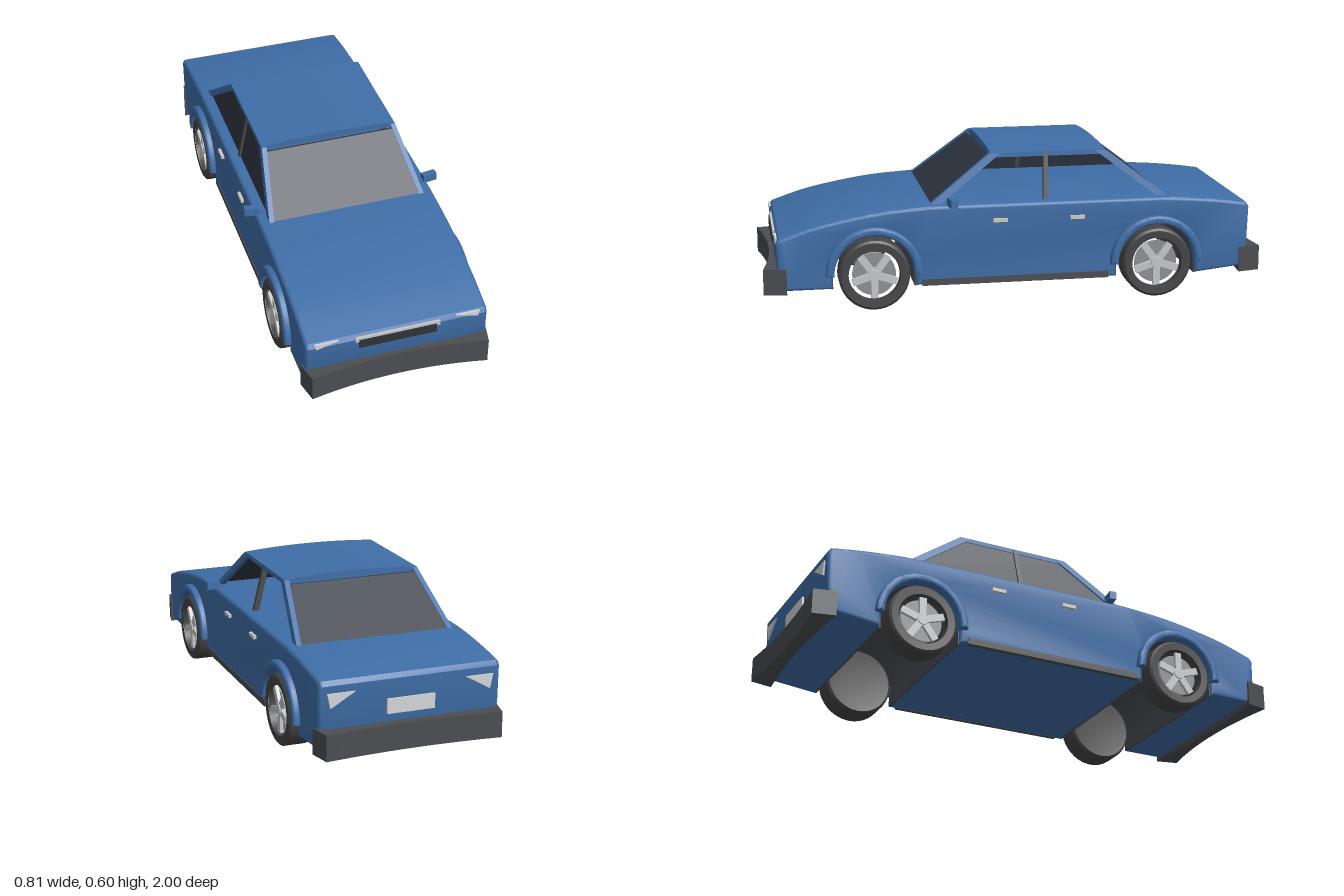
import * as THREE from 'three';
import { toCreasedNormals } from 'three/addons/utils/BufferGeometryUtils.js';
import { ConvexGeometry } from 'three/addons/geometries/ConvexGeometry.js';

const mat = (name, color, side = THREE.FrontSide) =>
  Object.assign(new THREE.MeshStandardMaterial({ color, side }), { name });
const V = (x, y, z) => new THREE.Vector3(x, y, z);
const SIDES = [1, -1];
const AXLES = [0.57, -0.565], AXLE_Y = 0.14, WELL = 0.165, SILL_Y = 0.085;

export function createModel() {
  const paint = mat('bluePaint', 0x3f6ea8);
  const glass = mat('darkGlass', 0x2f3641, THREE.DoubleSide);
  const trim = mat('greyTrim', 0x4b4d51);
  const rubber = mat('tyreRubber', 0x454547);
  const metal = mat('lightMetal', 0xc6c8ca);
  const recess = mat('shadedMetal', 0x8e9093);
  const handleMat = mat('paleHandle', 0xd0cbbf);
  const lamp = mat('lampLens', 0xd4d6d8);
  const plateMat = mat('darkPlate', 0x303236);

  const car = new THREE.Group();
  car.name = 'car';
  const add = (name, geo, material, parent = car) => {
    const m = new THREE.Mesh(geo, material);
    m.name = name;
    parent.add(m);
    return m;
  };
  const box = (name, w, h, d, x, y, z, material, parent) => {
    const m = add(name, new THREE.BoxGeometry(w, h, d), material, parent);
    m.position.set(x, y, z);
    return m;
  };
  // Side profile drawn in (z, y), extruded across x between two limits
  const across = (shape, x0, x1, bevel = 0) => {
    const g = new THREE.ExtrudeGeometry(shape, {
      depth: x1 - x0 - 2 * bevel, curveSegments: 24, bevelEnabled: bevel > 0,
      bevelThickness: bevel, bevelSize: bevel, bevelOffset: -bevel, bevelSegments: 3,
    });
    g.rotateY(-Math.PI / 2).translate(x1 - bevel, 0, 0);
    return toCreasedNormals(g, 0.6);
  };
  // Solid between two lists of matching corners
  const solid = (name, points, material) => add(name, new ConvexGeometry(points), material);

  // Lower body with both wheel wells cut out
  const body = new THREE.Shape();
  body.moveTo(-0.95, 0.35);
  body.lineTo(-0.938, 0.368);
  body.quadraticCurveTo(-0.78, 0.395, -0.6, 0.403);
  body.lineTo(0.33, 0.403);
  body.splineThru([[0.5, 0.391], [0.65, 0.369], [0.8, 0.337], [0.935, 0.293]]
    .map(p => new THREE.Vector2(...p)));
  body.lineTo(0.948, 0.275);
  body.lineTo(0.945, 0.15);
  body.lineTo(0.91, SILL_Y);
  for (const c of AXLES) {
    body.lineTo(c + WELL, SILL_Y);
    body.lineTo(c + WELL, AXLE_Y);
    body.absarc(c, AXLE_Y, WELL, 0, Math.PI, false);
    body.lineTo(c - WELL, SILL_Y);
  }
  body.lineTo(-0.92, 0.105);
  body.lineTo(-0.945, 0.2);
  add('body', across(body, -0.36, 0.36, 0.014), paint);

  // Arch band, used for flares and wheel-well linings
  const arch = (c, outer, inner, foot) => {
    const s = new THREE.Shape();
    s.moveTo(c + outer, foot);
    s.lineTo(c + outer, AXLE_Y);
    s.absarc(c, AXLE_Y, outer, 0, Math.PI, false);
    s.lineTo(c - outer, foot);
    s.lineTo(c - inner, foot);
    s.lineTo(c - inner, AXLE_Y);
    s.absarc(c, AXLE_Y, inner, Math.PI, 0, true);
    s.lineTo(c + inner, foot);
    return s;
  };
  for (const c of AXLES) {
    add('wheelWellLining', across(arch(c, 0.167, 0.16, SILL_Y - 0.002), -0.345, 0.345), trim);
    for (const s of SIDES) {
      const flare = arch(c, 0.19, 0.157, AXLE_Y - 0.001);
      add('archFlare', s > 0 ? across(flare, 0.33, 0.386, 0.01) : across(flare, -0.386, -0.33, 0.01), paint);
    }
  }

  // Wheels
  const tyreProfile = [[0.0, -0.045], [0.1, -0.048], [0.13, -0.052], [0.139, -0.044], [0.14, -0.035],
    [0.14, 0.035], [0.139, 0.044], [0.13, 0.051], [0.102, 0.049], [0.1, 0.02]]
    .map(p => new THREE.Vector2(...p));
  const rimProfile = [[0, 0.02], [0.088, 0.02], [0.092, 0.044], [0.098, 0.051], [0.103, 0.048]]
    .map(p => new THREE.Vector2(...p));
  const lathe = pts => toCreasedNormals(new THREE.LatheGeometry(pts, 40), 0.6);
  for (const z of AXLES) for (const s of SIDES) {
    const wheel = new THREE.Group();
    wheel.name = 'wheel';
    add('tyre', lathe(tyreProfile), rubber, wheel);
    add('rim', lathe(rimProfile), metal, wheel);
    add('rimRecess', new THREE.CylinderGeometry(0.086, 0.086, 0.004, 32), recess, wheel).position.y = 0.021;
    add('hub', new THREE.CylinderGeometry(0.022, 0.028, 0.022, 20), metal, wheel).position.y = 0.036;
    for (let i = 0; i < 5; i++) {
      const arm = new THREE.Group();
      arm.name = 'spoke';
      arm.rotation.y = i * Math.PI * 2 / 5;
      box('spokeBar', 0.078, 0.014, 0.028, 0.053, 0.036, 0, metal, arm);
      wheel.add(arm);
    }
    wheel.rotation.z = -s * Math.PI / 2;
    wheel.position.set(s * 0.332, AXLE_Y, z);
    car.add(wheel);
  }

  // Bowed bumpers
  const bumper = (name, front, bow, y0, y1) => {
    const s = new THREE.Shape();
    s.moveTo(-0.37, 0.91);
    s.lineTo(-0.35, 1);
    s.quadraticCurveTo(0, 1 - 2 * bow, 0.35, 1);
    s.lineTo(0.37, 0.91);
    s.quadraticCurveTo(0, 0.95, -0.37, 0.91);
    const g = new THREE.ExtrudeGeometry(s, { depth: y1 - y0, bevelEnabled: false, curveSegments: 20 });
    g.rotateX(Math.PI / 2).translate(0, y1, 0);
    if (!front) g.rotateY(Math.PI);
    add(name, toCreasedNormals(g, 0.5), trim);
  };
  bumper('frontBumper', true, 0.036, 0.073, 0.175);
  bumper('rearBumper', false, 0.02, 0.083, 0.184);

  // Crowned roof
  const roof = new THREE.Shape();
  roof.moveTo(-0.28, 0.572);
  roof.lineTo(0.28, 0.572);
  roof.lineTo(0.279, 0.59);
  roof.quadraticCurveTo(0, 0.614, -0.279, 0.59);
  const roofGeo = new THREE.ExtrudeGeometry(roof, { depth: 0.465, bevelEnabled: false, curveSegments: 20 });
  add('roof', toCreasedNormals(roofGeo.translate(0, 0, -0.37), 0.5), paint);

  // Corner pillars, door pillars, mirrors, handles and sills
  for (const s of SIDES) {
    const post = (name, zLow, zHigh, depth, material, w = 0.02) => solid(name,
      [[0.322, 0.4, zLow], [0.28, 0.588, zHigh]].flatMap(([x, y, z]) =>
        [[0, 0], [w, 0], [0, depth], [w, depth]].map(([i, d]) => V(s * (x - i), y, z + d))), material);
    post('windscreenPillar', 0.346, 0.1, -0.045, paint);
    post('rearPillar', -0.62, -0.372, 0.045, paint);
    post('doorPillar', -0.128, -0.136, 0.018, trim, 0.022);

    box('mirrorStem', 0.03, 0.01, 0.016, s * 0.332, 0.406, 0.262, paint);
    box('mirror', 0.058, 0.033, 0.028, s * 0.372, 0.415, 0.26, paint).rotation.y = s * 0.15;
    for (const z of [0.07, -0.24]) box('doorHandle', 0.016, 0.014, 0.058, s * 0.364, 0.338, z, handleMat);
    box('sill', 0.02, 0.026, 0.75, s * 0.354, 0.097, 0.005, trim);
  }

  // Windscreen, rear window and the single side window
  const screen = (name, zLow, zHigh, t) => solid(name,
    [0, t].flatMap(d => SIDES.flatMap(s =>
      [V(s * 0.304, 0.401, zLow + d), V(s * 0.264, 0.574, zHigh + d)])), glass);
  screen('windscreen', 0.34, 0.112, -0.008);
  screen('rearWindow', -0.614, -0.386, 0.008);
  solid('sideWindow', [0, 0.006].flatMap(d =>
    [V(-0.314 + d, 0.401, 0.32), V(-0.276 + d, 0.574, 0.095),
      V(-0.276 + d, 0.574, -0.37), V(-0.314 + d, 0.401, -0.595)]), glass);

  // Lamps and plates on the nose and tail
  const lampPlate = (name, points, z) => {
    for (const s of SIDES) {
      const shape = new THREE.Shape(points.map(([x, y]) => new THREE.Vector2(s * x, y)));
      add(name, new THREE.ExtrudeGeometry(shape, { depth: 0.009, bevelEnabled: false }), lamp).position.z = z;
    }
  };
  lampPlate('headlamp', [[0.232, 0.292], [0.326, 0.292], [0.32, 0.269]], 0.942);
  lampPlate('tailLamp', [[0.22, 0.322], [0.33, 0.322], [0.318, 0.265]], -0.955);
  box('grilleStrip', 0.334, 0.02, 0.009, 0, 0.275, 0.948, metal);
  box('frontPlate', 0.306, 0.036, 0.009, 0, 0.257, 0.952, plateMat);
  box('rearPlate', 0.19, 0.058, 0.009, 0, 0.246, -0.95, lamp);

  return car;
}
